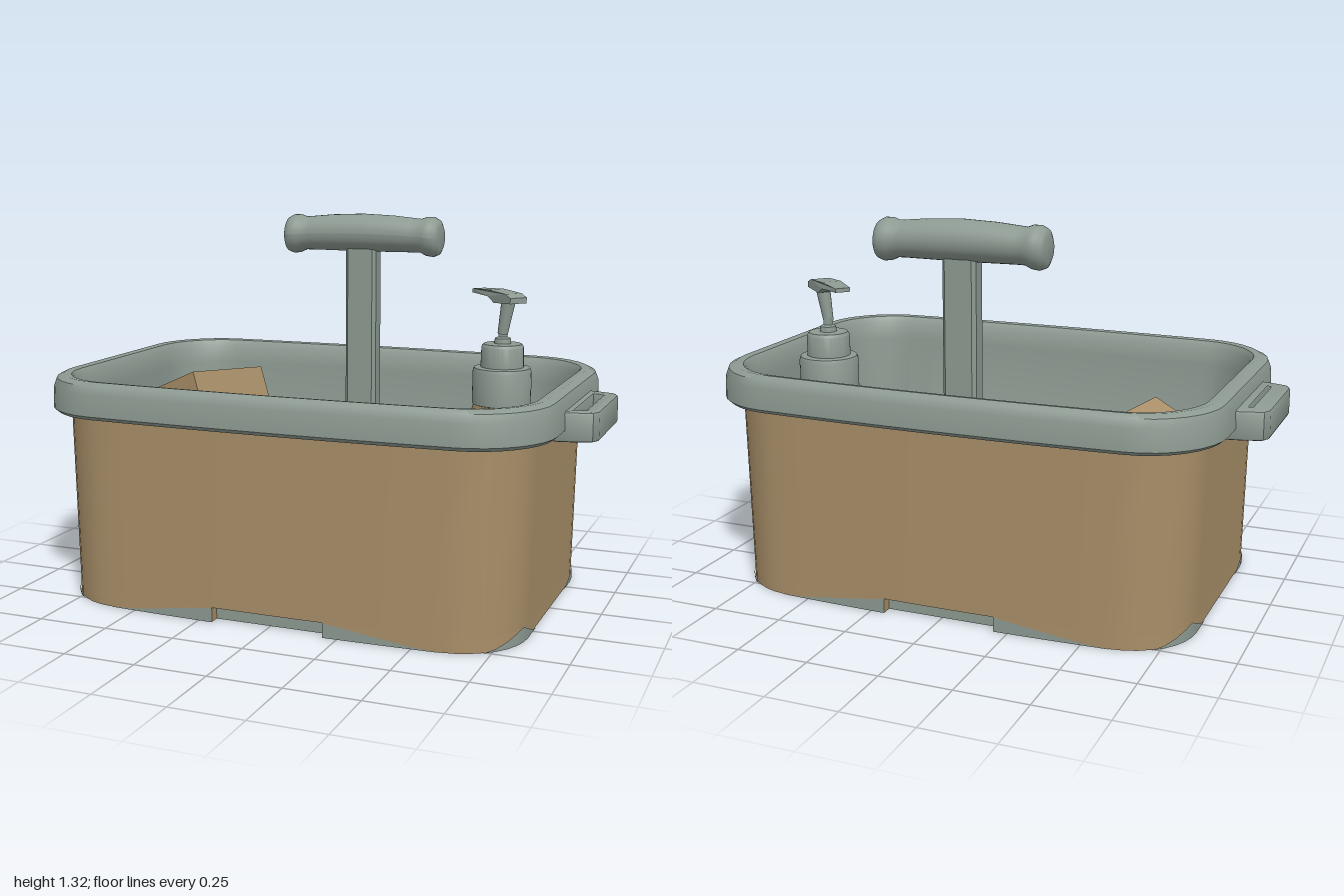
import * as THREE from 'three';
import { toCreasedNormals } from 'three/addons/utils/BufferGeometryUtils.js';

const grey = new THREE.MeshStandardMaterial({ color: 0x8d9a92 });
grey.name = 'sage grey';
const tan = new THREE.MeshStandardMaterial({ color: 0xa88e68 });
tan.name = 'tan';

const EDGE = 12, ARC = 8;

// Rounded rectangle whose long sides bow outwards; returns [x, z] points.
function outline(hx, hz, r, bulge = 0.055) {
  const pts = [];
  const corners = [[1, 1], [-1, 1], [-1, -1], [1, -1]];
  corners.forEach(([sx, sz], q) => {
    for (let i = 0; i <= ARC; i++) {
      const a = (q + i / ARC) * Math.PI / 2;
      pts.push([sx * (hx - r) + r * Math.cos(a), sz * (hz - r) + r * Math.sin(a)]);
    }
    const [ax, az] = pts[pts.length - 1];
    const [nx, nz] = corners[(q + 1) % 4];
    const b = (q + 1) * Math.PI / 2;
    const ex = nx * (hx - r) + r * Math.cos(b), ez = nz * (hz - r) + r * Math.sin(b);
    for (let i = 1; i < EDGE; i++) pts.push([ax + (ex - ax) * i / EDGE, az + (ez - az) * i / EDGE]);
  });
  return pts.map(([x, z]) => [x, z * (1 + (hx ? bulge * (1 - (x / hx) ** 2) : 0))]);
}

// Skin a stack of 3D loops; keep() can leave faces open.
function skin(rows, keep = () => true) {
  const n = rows[0].length, index = [];
  for (let i = 0; i < rows.length - 1; i++) {
    for (let j = 0; j < n; j++) {
      const k = (j + 1) % n;
      if (!keep(rows[i][j], rows[i][k])) continue;
      const a = i * n + j, b = a + n, c = i * n + k, d = c + n;
      index.push(a, b, c, c, b, d);
    }
  }
  const geo = new THREE.BufferGeometry();
  geo.setAttribute('position', new THREE.Float32BufferAttribute(rows.flat(2), 3));
  geo.setIndex(index);
  return toCreasedNormals(geo, 0.7);
}

// Profile entries are [halfX, halfZ, cornerRadius, y].
const loft = (profile, bulge) => skin(profile.map(([hx, hz, r, y]) =>
  outline(hx, hz, r, bulge).map(([x, z]) => [x, y, z])));

// Extrude a plan drawn in x, z between two heights.
function slab(points, y0, y1, holes = [], bevel = 0) {
  const toVec = (list) => list.map(([x, z]) => new THREE.Vector2(x, z));
  const shape = new THREE.Shape(toVec(points));
  holes.forEach((h) => shape.holes.push(new THREE.Path(toVec(h))));
  const geo = new THREE.ExtrudeGeometry(shape, {
    depth: y1 - y0 - 2 * bevel, bevelEnabled: bevel > 0, bevelSize: bevel,
    bevelThickness: bevel, bevelOffset: -bevel, bevelSegments: 2,
  });
  geo.rotateX(Math.PI / 2).translate(0, y1 - bevel, 0);
  return toCreasedNormals(geo, 0.6);
}

function add(parent, name, geo, material, x = 0, y = 0, z = 0) {
  const mesh = new THREE.Mesh(geo, material);
  mesh.name = name;
  mesh.position.set(x, y, z);
  parent.add(mesh);
  return mesh;
}

function buildTub(root) {
  const tub = new THREE.Group();
  tub.name = 'tub';
  root.add(tub);

  // Base with a finger notch in the front and back
  const foot = outline(0.82, 0.535, 0.22);
  const notched = foot.flatMap(([x, z]) => {
    if (Math.abs(x) < 0.19) return [];
    if (Math.abs(x) > 0.21) return [[x, z]];
    const inner = [x, Math.sign(z) * 0.52];
    return x * z > 0 ? [[x, z], inner] : [inner, [x, z]];
  });
  add(tub, 'base', slab(notched, 0, 0.05), [grey, tan]);
  add(tub, 'notchCeiling', loft([[0, 0, 0, 0.05], [0.82, 0.535, 0.22, 0.05]]), grey);
  for (const s of [1, -1]) {
    add(tub, 'notchLiner', new THREE.BoxGeometry(0.4, 0.05, 0.008), grey, 0, 0.025, s * 0.522);
  }

  // Grey scuff band: tapers away from the notches and swells at the corners
  const band = outline(0.823, 0.538, 0.22);
  const height = ([x, z]) => {
    const ax = Math.abs(x), az = Math.abs(z);
    if (ax < 0.6) return 0.05 * Math.max(0, 1 - (ax - 0.2) / 0.35);
    return ax > 0.72 ? 0.055 * Math.max(0, 1 - Math.abs(az - 0.37) / 0.13) : 0;
  };
  add(tub, 'baseBand', skin([
    band.map(([x, z]) => [x, 0, z]),
    band.map((p) => [p[0], height(p), p[1]]),
  ], (a, b) => Math.abs(a[0] + b[0]) / 2 > 0.2), grey);

  // Outer wall
  add(tub, 'outerWall', loft([[0.82, 0.535, 0.22, 0.05], [0.832, 0.538, 0.22, 0.67]]), tan);

  // Rolled rim, inner wall and floor
  add(tub, 'rimAndLining', loft([
    [0.83, 0.535, 0.22, 0.662], [0.885, 0.565, 0.25, 0.662], [0.9, 0.577, 0.26, 0.675],
    [0.896, 0.575, 0.26, 0.75], [0.885, 0.566, 0.25, 0.778], [0.862, 0.55, 0.24, 0.79],
    [0.835, 0.53, 0.22, 0.787], [0.82, 0.515, 0.2, 0.765], [0.815, 0.51, 0.2, 0.7],
    [0.79, 0.49, 0.17, 0.13], [0.76, 0.465, 0.15, 0.1], [0, 0, 0, 0.1],
  ]), grey);

  // Side grips
  const grip = [[0.86, -0.22], [0.92, -0.21], [0.985, -0.19], [1, -0.16], [1, 0.16], [0.985, 0.19], [0.92, 0.21], [0.86, 0.22]];
  const slot = [[0.915, -0.16], [0.95, -0.15], [0.95, 0.15], [0.915, 0.16]];
  for (const s of [1, -1]) {
    const flip = (list) => list.map(([x, z]) => [s * x, z]);
    add(tub, 'sideGrip', slab(flip(grip), 0.635, 0.735, [flip(slot)], 0.01), grey);
  }

  // Raised pattern on the floor
  const ribs = [[-0.24, -0.5], [0.2, -0.5], [0.2, -0.38], [0.26, -0.2], [0.37, -0.25], [0.4, 0.25],
    [0.2, 0.44], [0.2, 0.5], [-0.24, 0.5], [-0.24, 0.4], [-0.3, 0.27], [-0.42, 0.1], [-0.5, 0.1],
    [-0.62, 0.24], [-0.66, 0.2], [-0.52, 0.04], [-0.52, -0.03], [-0.4, -0.03], [-0.24, -0.3]];
  const frame = [[0.27, -0.07], [0.31, -0.07], [0.31, 0.24], [0.15, 0.42], [0, 0.42], [0, 0.33]];
  const well = [[0.2, -0.12], [-0.08, 0.38], [-0.16, 0.38], [-0.27, 0.18], [-0.27, -0.12]];
  const latch = [[-0.16, -0.46], [0.12, -0.46], [0.1, -0.43], [-0.14, -0.43]];
  add(tub, 'floorRibs', slab(ribs, 0.1, 0.16, [frame, well, latch], 0.008), grey);
  add(tub, 'floorDisc', new THREE.CylinderGeometry(0.19, 0.2, 0.1, 32), grey, -0.11, 0.15, 0.03);
}

function buildCarryHandle(root) {
  const handle = new THREE.Group();
  handle.name = 'carryHandle';
  handle.position.set(0, 0, -0.34);
  root.add(handle);
  const r = 0.012;
  const post = [[-0.06, -0.037 + r], [-0.06 + r, -0.037], [0.06 - r, -0.037], [0.06, -0.037 + r],
    [0.06, 0.037 - r], [0.06 - r, 0.037], [-0.06 + r, 0.037], [-0.06, 0.037 - r]];
  add(handle, 'handlePost', slab(post, 0.1, 1.22), grey);
  // Turned grip, swollen in the middle and at both ends
  const half = [[0, 0.305], [0.045, 0.304], [0.064, 0.295], [0.073, 0.275], [0.071, 0.25],
    [0.062, 0.228], [0.063, 0.2], [0.067, 0.12], [0.07, 0]];
  const profile = [...half.map(([a, b]) => [a, -b]), ...half.slice(0, -1).reverse()];
  const grip = new THREE.LatheGeometry(profile.map(([a, b]) => new THREE.Vector2(a, b)), 32);
  grip.rotateZ(Math.PI / 2);
  // Slight upward arch
  const p = grip.attributes.position;
  for (let i = 0; i < p.count; i++) p.setY(i, p.getY(i) + 0.012 * (1 - (p.getX(i) / 0.3) ** 2));
  grip.computeVertexNormals();
  add(handle, 'handleGrip', grip, grey, 0, 1.24, 0);
}

function buildPumpBottle(root) {
  const bottle = new THREE.Group();
  bottle.name = 'pumpBottle';
  bottle.position.set(0.573, 0, -0.225);
  root.add(bottle);
  const body = add(bottle, 'bottleBody', loft([
    [0, 0, 0, 0.1], [0.22, 0.15, 0.13, 0.1], [0.235, 0.165, 0.14, 0.13], [0.235, 0.165, 0.14, 0.36],
    [0.215, 0.15, 0.14, 0.44], [0.165, 0.125, 0.12, 0.54], [0.115, 0.105, 0.1, 0.62], [0.095, 0.095, 0.095, 0.68],
  ], 0), tan);
  body.rotation.y = -0.68;
  // Collar, cap and stem turned as one piece
  const pump = [[0.09, 0.66], [0.105, 0.665], [0.105, 0.78], [0.1, 0.795], [0.077, 0.798], [0.075, 0.87],
    [0.068, 0.88], [0.03, 0.882], [0.028, 0.9], [0.016, 0.905], [0.016, 0.93]];
  add(bottle, 'pumpCollar', toCreasedNormals(
    new THREE.LatheGeometry(pump.map(([a, b]) => new THREE.Vector2(a, b)), 32), 0.6), grey);
  const stem = new THREE.CylinderGeometry(0.026, 0.018, 0.13, 20);
  const stemMesh = add(bottle, 'pumpStem', stem, grey, 0.011, 0.98, 0.006);
  stemMesh.rotation.z = -0.16;
  // Pump head with a thin spout
  const side = new THREE.Shape([[-0.06, 1.03], [0.04, 1.025], [0.08, 1.045], [0.19, 1.048], [0.19, 1.062],
    [0.08, 1.068], [-0.03, 1.062], [-0.06, 1.05]].map(([a, b]) => new THREE.Vector2(a, b)));
  const head = new THREE.ExtrudeGeometry(side, { depth: 0.07, bevelEnabled: false });
  head.translate(0, 0, -0.035);
  const q = head.attributes.position;
  for (let i = 0; i < q.count; i++) if (q.getX(i) > 0.1) q.setZ(i, q.getZ(i) * 0.75);
  head.computeVertexNormals();
  add(bottle, 'pumpHead', head, grey, 0.02, 0, 0.01).rotation.y = 2.44;
}

function buildContents(root) {
  // Tall carton leaning in the corner
  const carton = new THREE.BoxGeometry(1, 1, 1);
  carton.applyMatrix4(new THREE.Matrix4().makeBasis(
    new THREE.Vector3(0.18, 0.08, 0.05),
    new THREE.Vector3(-0.2, 0.55, -0.08),
    new THREE.Vector3(-0.11, 0.03, 0.38),
  ));
  carton.computeVertexNormals();
  add(root, 'leaningCarton', carton, tan, -0.535, 0.395, -0.275);
  // Carton lying beside the post
  add(root, 'flatCarton', new THREE.BoxGeometry(0.47, 0.24, 0.27), tan, -0.143, 0.27, -0.03).rotation.y = 0.425;
  // Curved scrubbing pad
  add(root, 'scrubPad', slab([[0.37, -0.08], [0.5, -0.07], [0.6, -0.035], [0.7, 0.01], [0.67, 0.07],
    [0.57, 0.04], [0.47, 0.025], [0.37, 0.015]], 0.1, 0.34), tan);
}

export function createModel() {
  const root = new THREE.Group();
  root.name = 'cleaningCaddy';
  buildTub(root);
  buildCarryHandle(root);
  buildPumpBottle(root);
  buildContents(root);
  return root;
}
